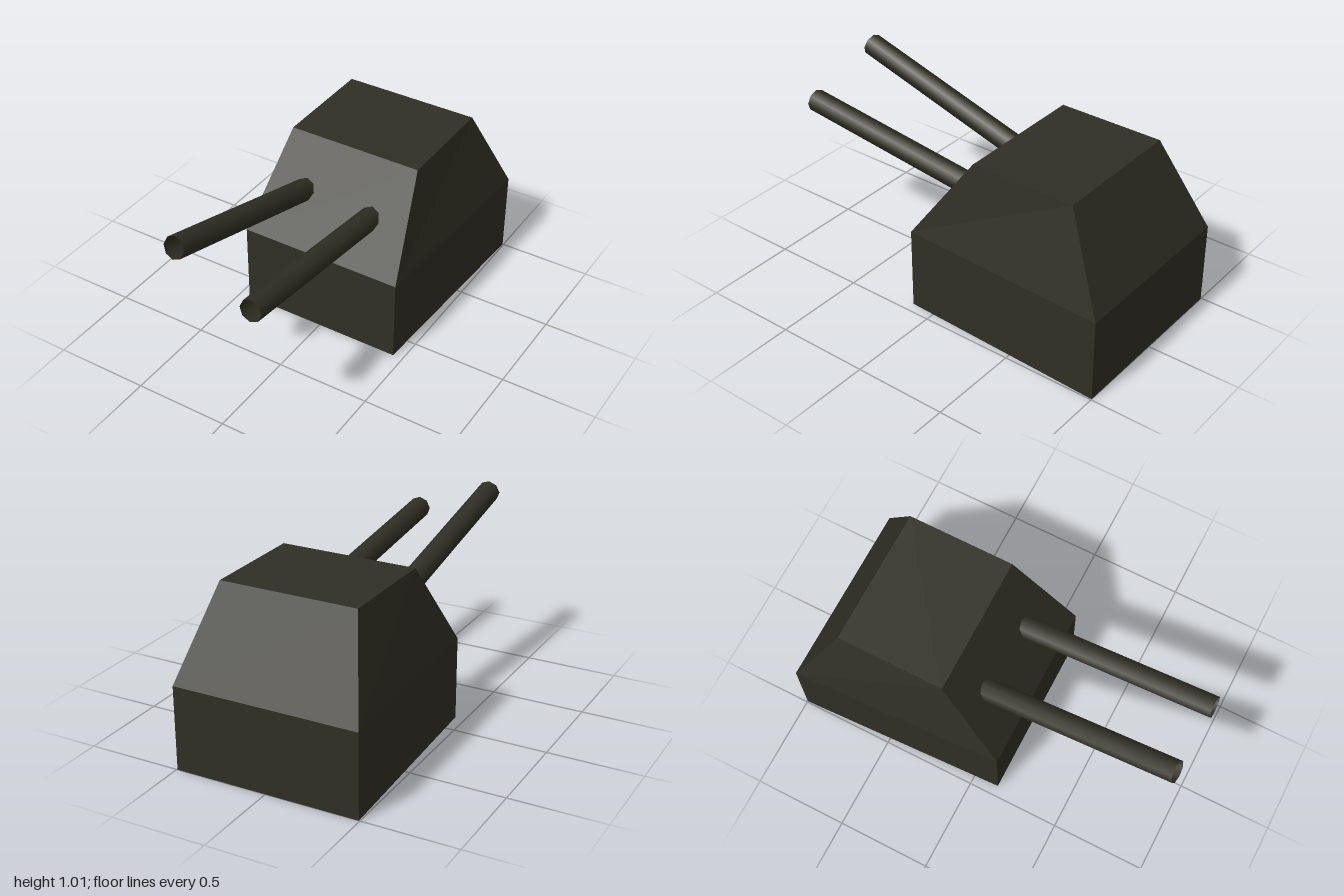
import * as THREE from 'three';

const paint = new THREE.MeshStandardMaterial({ color: 0x302f24, side: THREE.DoubleSide });
paint.name = 'dark olive';

// Rectangular ring of corners at height y: back and front half widths and depths
function ring(y, backHalf, frontHalf, zBack, zFront) {
  return [[-frontHalf, y, zFront], [frontHalf, y, zFront], [backHalf, y, zBack], [-backHalf, y, zBack]];
}

// Faceted armoured shell, closed on top and open below
function housing() {
  const rings = [
    ring(0, 0.495, 0.445, -1, 0.135),
    ring(0.445, 0.495, 0.445, -1, 0.135),
    ring(0.92, 0.365, 0.365, -0.765, -0.195),
  ];
  const pos = [];
  const quad = (a, b, c, d) => pos.push(...a, ...b, ...c, ...a, ...c, ...d);
  for (let r = 0; r < rings.length - 1; r++) {
    for (let i = 0; i < 4; i++) {
      const j = (i + 1) % 4;
      quad(rings[r][i], rings[r][j], rings[r + 1][j], rings[r + 1][i]);
    }
  }
  quad(...rings[2]);
  const geo = new THREE.BufferGeometry();
  geo.setAttribute('position', new THREE.Float32BufferAttribute(pos, 3));
  geo.computeVertexNormals();
  const mesh = new THREE.Mesh(geo, paint);
  mesh.name = 'turretHousing';
  return mesh;
}

// Hollow eight-sided barrel between its inner end and its muzzle
function barrel(name, inner, muzzle) {
  const a = new THREE.Vector3(...inner);
  const b = new THREE.Vector3(...muzzle);
  const dir = b.clone().sub(a);
  const mesh = new THREE.Mesh(new THREE.CylinderGeometry(0.059, 0.059, dir.length(), 8, 1, true), paint);
  mesh.position.copy(a).add(b).multiplyScalar(0.5);
  mesh.quaternion.setFromUnitVectors(new THREE.Vector3(0, 1, 0), dir.normalize());
  mesh.name = name;
  return mesh;
}

export function createModel() {
  const group = new THREE.Group();
  group.name = 'gunTurret';
  group.add(
    housing(),
    barrel('leftBarrel', [0.195, 0.635, -0.27], [0.193, 0.79, 0.993]),
    barrel('rightBarrel', [-0.19, 0.627, -0.27], [-0.234, 0.954, 0.973]),
  );
  return group;
}
